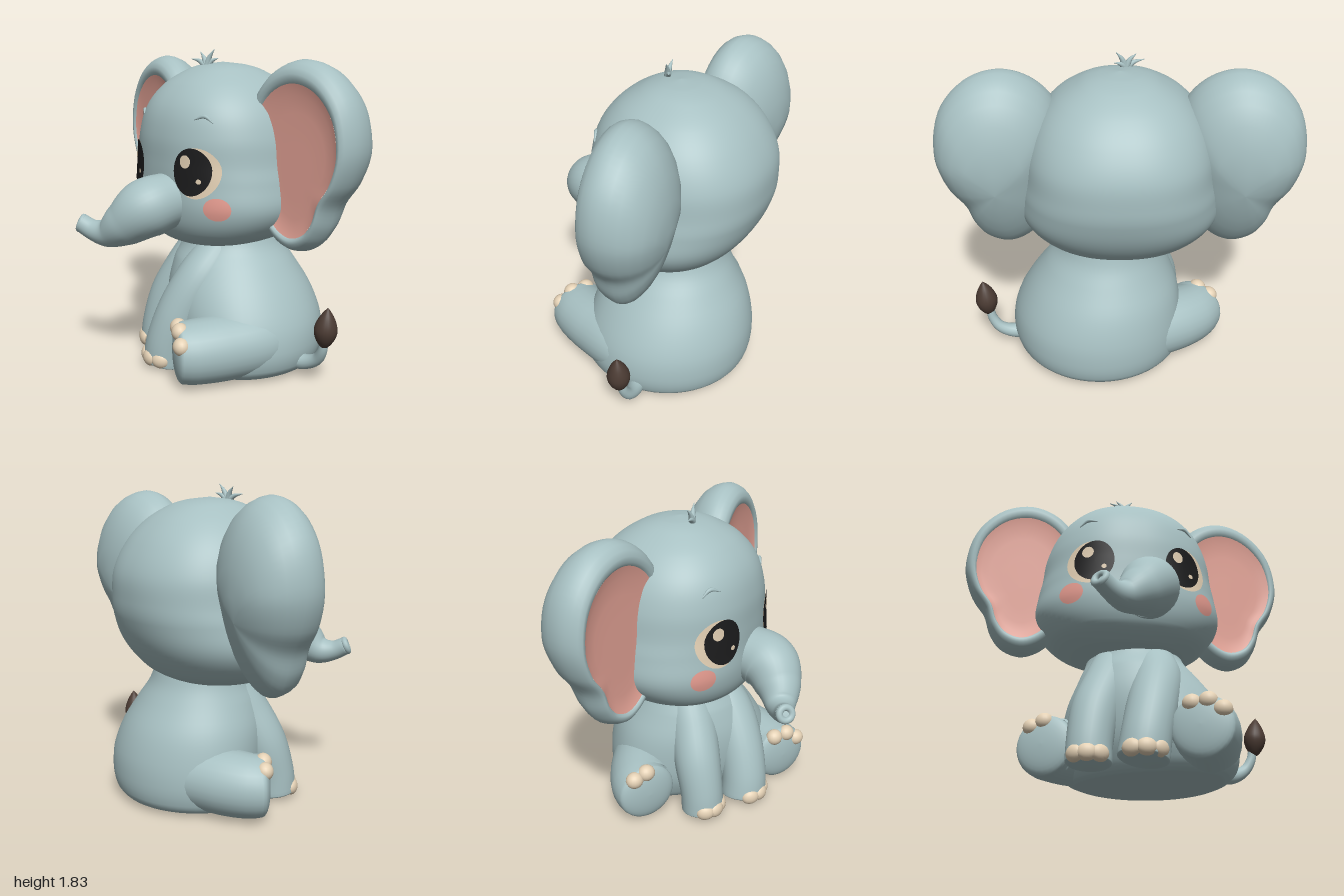
import * as THREE from 'three';

const mat = (name, color) => {
  const m = new THREE.MeshStandardMaterial({ color });
  m.name = name;
  return m;
};
const V = (x, y, z) => new THREE.Vector3(x, y, z);

// Skin a list of closed rings (equal point counts) with smooth normals.
function loft(rings, flip = false) {
  const n = rings[0].length, idx = [];
  for (let i = 0; i < rings.length - 1; i++) {
    for (let j = 0; j < n; j++) {
      const a = i * n + j, b = i * n + (j + 1) % n, c = a + n, d = b + n;
      if (flip) idx.push(a, b, c, b, d, c);
      else idx.push(a, c, b, b, c, d);
    }
  }
  const g = new THREE.BufferGeometry().setFromPoints(rings.flat());
  g.setIndex(idx);
  g.computeVertexNormals();
  return g;
}

// Tapered tube through [x, y, z, radius] stations; round start, cap is the bulge of the end.
function sweep(stations, cap = 1, sides = 28, steps = 30) {
  const curve = new THREE.CatmullRomCurve3(stations.map(s => V(s[0], s[1], s[2])));
  const radii = new THREE.SplineCurve(stations.map((s, i) => new THREE.Vector2(i, s[3])));
  const { normals, binormals, tangents } = curve.computeFrenetFrames(steps);
  const rings = [];
  const ring = (c, r, i) => rings.push(Array.from({ length: sides }, (_, j) => {
    const t = j / sides * Math.PI * 2;
    return c.clone().addScaledVector(normals[i], r * Math.cos(t)).addScaledVector(binormals[i], -r * Math.sin(t));
  }));
  const dome = (c, r, i, bulge, k) => {
    const a = k / 8 * Math.PI / 2;
    ring(c.clone().addScaledVector(tangents[i], r * bulge * Math.sin(a)), r * Math.cos(a), i);
  };
  for (let k = 8; k >= 1; k--) dome(curve.getPoint(0), stations[0][3], 0, -1, k);
  for (let i = 0; i <= steps; i++) ring(curve.getPointAt(i / steps), radii.getPoint(curve.getUtoTmapping(i / steps)).y, i);
  for (let k = 1; k <= 8; k++) dome(curve.getPoint(1), stations.at(-1)[3], steps, cap, k);
  return loft(rings);
}

// Smooth interpolation of table rows keyed by their first entry.
function rowAt(rows, y) {
  let i = 0;
  while (i < rows.length - 2 && y > rows[i + 1][0]) i++;
  const p = rows[i], q = rows[i + 1], h = q[0] - p[0], t = (y - p[0]) / h;
  const o = rows[Math.max(i - 1, 0)], s = rows[Math.min(i + 2, rows.length - 1)];
  return p.map((v, k) => {
    const m0 = (q[k] - o[k]) / (q[0] - o[0]) * h, m1 = (s[k] - p[k]) / (s[0] - p[0]) * h;
    return v * (2 * t ** 3 - 3 * t * t + 1) + m0 * (t ** 3 - 2 * t * t + t)
      + q[k] * (3 * t * t - 2 * t ** 3) + m1 * (t ** 3 - t * t);
  });
}
function stack(rows, ringOf, sub = 6) {
  const rings = [];
  for (let i = 0; i < rows.length - 1; i++)
    for (let k = 0; k < sub; k++) rings.push(ringOf(rowAt(rows, rows[i][0] + (rows[i + 1][0] - rows[i][0]) * k / sub)));
  rings.push(ringOf(rows.at(-1)));
  return rings;
}

// Head sections: height, half width, front z, back z
const HEAD = [
  [0.70, 0, -0.1, -0.1], [0.71, 0.2, 0.1, -0.28], [0.75, 0.36, 0.21, -0.43], [0.82, 0.475, 0.28, -0.525],
  [0.95, 0.555, 0.315, -0.62], [1.1, 0.547, 0.315, -0.677], [1.2, 0.528, 0.315, -0.69], [1.35, 0.508, 0.31, -0.68],
  [1.5, 0.45, 0.27, -0.61], [1.62, 0.35, 0.18, -0.505], [1.7, 0.225, 0.06, -0.38], [1.735, 0.13, -0.04, -0.27], [1.75, 0, -0.15, -0.15],
];
const N = 2.25;
const pw = v => Math.sign(v) * Math.abs(v) ** (2 / N);
function headRing([y, rx, zf, zb]) {
  return Array.from({ length: 96 }, (_, j) => {
    const t = j / 96 * Math.PI * 2;
    return V(rx * pw(Math.cos(t)), y, (zf + zb) / 2 + (zf - zb) / 2 * pw(Math.sin(t)));
  });
}
function facePoint(x, y, lift) {
  const [, rx, zf, zb] = rowAt(HEAD, y), rz = (zf - zb) / 2;
  const dz = rz * Math.max(0, 1 - (Math.abs(x) / rx) ** N) ** (1 / N);
  return V(x, y, (zf + zb) / 2 + dz).addScaledVector(V(x / rx ** 2, 0, dz / rz ** 2).normalize(), lift);
}
// Oval painted patch that follows the face
function patch(cx, cy, rx, ry, lift) {
  const rings = [];
  for (let i = 0; i <= 8; i++) rings.push(Array.from({ length: 40 }, (_, j) => {
    const t = j / 40 * Math.PI * 2;
    return facePoint(cx + rx * i / 8 * Math.cos(t), cy + ry * i / 8 * Math.sin(t), lift);
  }));
  return loft(rings);
}

// Ear outline, and [scale, z] sections from front rim to back
const EAR = [[.335, 1.56], [.45, 1.71], [.62, 1.775], [.8, 1.73], [.95, 1.57], [1, 1.33], [.95, 1.14], [.865, 1.01],
  [.82, .88], [.75, .785], [.63, .74], [.505, .79], [.39, .95], [.335, 1.25]];
const EAR_RIM = [[.77, -.14], [.795, -.11], [.83, -.095], [.88, -.095], [.93, -.11], [.97, -.14], [.99, -.17], [1, -.2], [.99, -.235],
  [.96, -.28], [.9, -.328], [.8, -.375], [.65, -.42], [.45, -.455], [.22, -.475], [0, -.48]];
const EAR_INNER = [[0, -.125], [.3, -.125], [.55, -.125], [.7, -.12], [.8, -.107]];
function earLoft(sections, side) {
  const pts = new THREE.CatmullRomCurve3(EAR.map(p => V(p[0], p[1], 0)), true).getPoints(72).slice(0, 72);
  return loft(sections.map(([s, z]) => pts.map(p => {
    const x = .66 + (p.x - .66) * s, y = 1.16 + (p.y - 1.16) * s;
    // the back is thinner towards the lobe
    const back = Math.min(z + .2, 0) * (1 + (y < 1.3 ? .8 : .2) * (y - 1.3));
    return V(side * x, y, Math.max(z, -.2) + back - .1 * (x - .66));
  })), side > 0);
}

export function createModel() {
  const root = new THREE.Group();
  root.name = 'elephant';
  const skin = mat('skin grey blue', 0xa7c0c2), pink = mat('pink', 0xe3a295), blush = mat('cheek pink', 0xea9f93);
  const cream = mat('cream', 0xe4d1b5), black = mat('eye black', 0x1c1c1d), brown = mat('tail brown', 0x4b3b33);
  const add = (name, geo, m = skin) => {
    const mesh = new THREE.Mesh(geo, m);
    mesh.name = name;
    root.add(mesh);
    return mesh;
  };
  const ball = (name, x, y, z, rx, ry, rz, m) => {
    const b = add(name, new THREE.SphereGeometry(1, 20, 14), m);
    b.position.set(x, y, z);
    b.scale.set(rx, ry, rz);
    return b;
  };
  // The seated body is turned: place by sideways (l) and forward (f) distance
  const yaw = Math.PI / 6, C = Math.cos(yaw), S = Math.sin(yaw);
  const at = (l, y, f) => [C * l - S * f, y, S * l + C * f];

  add('head', loft(stack(HEAD, headRing)));

  // Body sections: height, centre x, centre z, radius; the lower belly is flattened between the legs
  const BODY = [[0, .12, -.15, .43], [.02, .12, -.15, .475], [.07, .125, -.15, .51], [.17, .125, -.15, .525], [.3, .12, -.16, .505],
    [.45, .1, -.17, .448], [.6, .08, -.175, .36], [.7, .06, -.18, .3], [.8, .05, -.18, .27]];
  const round = ([y, cx, cz, r]) => Array.from({ length: 64 }, (_, j) => {
    const t = j / 64 * Math.PI * 2, f = r * Math.sin(t);
    const [x, , z] = at(r * Math.cos(t), y, f > 0 ? f * Math.min(1, .6 + .65 * y) : f);
    return V(cx + x, y, cz + z);
  });
  add('body', loft([round([0, .12, -.15, 0]), ...stack(BODY, round, 4)]));

  // Ears and face
  for (const s of [1, -1]) {
    const tag = s > 0 ? 'left' : 'right';
    add(tag + 'Ear', earLoft(EAR_RIM, s));
    add(tag + 'EarInner', earLoft(EAR_INNER, s), pink);
    add(tag + 'EyeWhite', patch(s * .28, 1.166, .122, .138, .004), cream);
    add(tag + 'Eye', patch(s * .255, 1.172, .108, .13, .008), black);
    add(tag + 'Cheek', patch(s * .385 + .008, .978, .061, .063, .006), blush);
    const brow = [[.245, 1.455], [.29, 1.472], [.335, 1.44]].map(([x, y]) => facePoint(s * x, y, .002));
    add(tag + 'Brow', sweep(brow.map((p, i) => [p.x, p.y, p.z, [.004, .012, .004][i]]), 1, 10, 10));
  }
  for (const [x, y, rx, ry] of [[-.29, 1.228, .031, .036], [-.203, 1.125, .014, .014], [.222, 1.228, .031, .036], [.302, 1.125, .014, .014]])
    add('eyeGlint', patch(x, y, rx, ry, .012), cream);

  // Trunk, curling to one side, with an open tip
  add('trunk', sweep([[.04, .985, .15, .15], [.045, .982, .3, .16], [.025, .95, .42, .168], [-.05, .865, .512, .13],
    [-.14, .806, .57, .085], [-.213, .812, .617, .06], [-.272, .845, .655, .054]], .12, 32, 48));
  const tip = add('trunkTip', new THREE.TorusGeometry(.036, .02, 12, 28));
  tip.position.set(-.276, .847, .658);
  tip.lookAt(V(-.276 - .5, .847 + .3, .658 + .55));

  // Front legs with toes; last value turns the toes
  const fronts = [
    ['left', [[.14, .66, -.02, .135], [.13, .52, .105, .145], [.08, .33, .21, .142], [.035, .14, .268, .138], [.018, .03, .275, .14]], -.05],
    ['right', [[-.08, .66, -.07, .135], [-.135, .52, .0, .14], [-.21, .33, .075, .138], [-.245, .14, .125, .127], [-.25, .03, .135, .127]], -.22],
  ];
  for (const [tag, path, turn] of fronts) {
    add(tag + 'FrontLeg', sweep(path, .2));
    const [x, , z, r] = path.at(-1);
    for (const k of [-1, 0, 1]) {
      const a = turn + k * .68;
      const toe = ball(tag + 'FrontToe', x + Math.sin(a) * (r - .022), .058, z + Math.cos(a) * (r - .022), .055, .048, .036, cream);
      toe.rotation.y = a;
    }
  }

  // Hind legs: side position of foot, thigh and hip, reach, toe angles around the sole
  const hinds = [
    ['left', .46, .425, .36, .175, [-22, 16, 56]],
    ['right', -.465, -.41, -.27, .125, [-36, -2]],
  ];
  for (const [tag, foot, thigh, hip, reach, toes] of hinds) {
    add(tag + 'HindLeg', sweep([[...at(hip * .75, .2, -.42), .15], [...at(hip, .2, -.28), .185], [...at(thigh, .19, -.06), .188],
      [...at(foot, .184, reach - .06), .18], [...at(foot, .184, reach), .174]], .28));
    for (const deg of toes) {
      const a = deg * Math.PI / 180;
      const toe = ball(tag + 'HindToe', ...at(foot + Math.sin(a) * .138, .184 + Math.cos(a) * .138, reach + .01), .053, .05, .048, cream);
      toe.rotation.y = -yaw;
    }
  }

  // Tail and tuft
  add('tail', sweep([[.52, .1, -.2, .06], [.64, .085, -.235, .045], [.73, .125, -.25, .034], [.775, .19, -.245, .028], [.79, .27, -.24, .024]], 1, 16));
  const profile = [[0, 0], [.022, .005], [.05, .045], [.064, .09], [.06, .13], [.042, .175], [.02, .21], [0, .235]];
  const spline = new THREE.SplineCurve(profile.map(p => new THREE.Vector2(...p))).getPoints(28);
  spline.forEach(p => { p.x = Math.max(p.x, 0); });
  const tuft = add('tailTuft', new THREE.LatheGeometry(spline, 20), brown);
  tuft.position.set(.795, .22, -.235);
  tuft.rotation.z = -.1;

  // Hair wisps on the crown
  for (const [x, y, z] of [[-.13, 1.765, -.02], [-.085, 1.805, -.05], [.02, 1.82, -.07], [.03, 1.77, -.09]])
    add('hair', sweep([[-.03, 1.72, -.05, .02], [-.03 + (x + .03) * .4, 1.74 + (y - 1.74) * .5, (z - .05) / 2, .013], [x, y, z, .002]], 1, 10, 10));

  return root;
}
